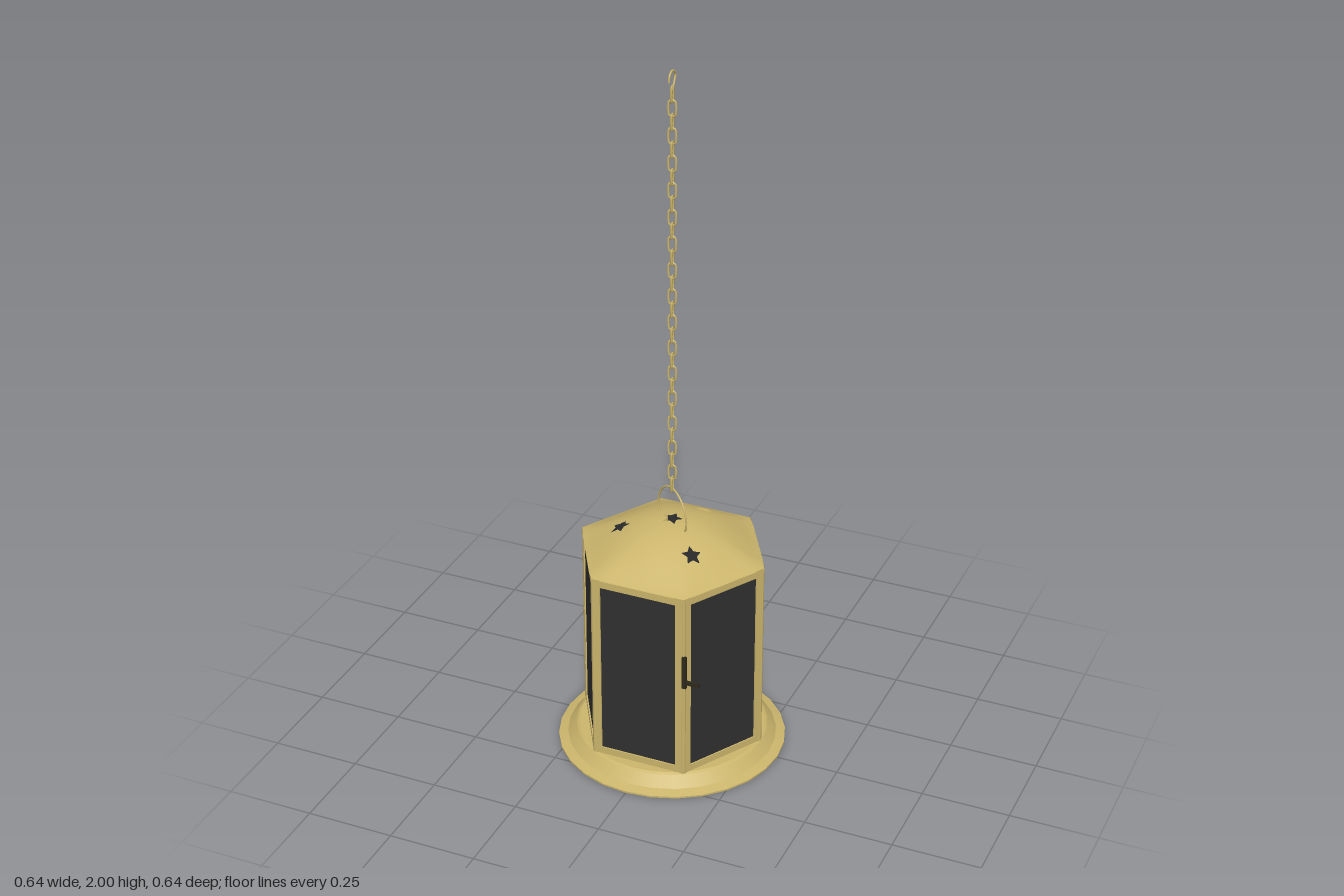
import * as THREE from 'three';

export function createModel() {
  const brass = new THREE.MeshStandardMaterial({ color: 0xcbb56c, side: THREE.DoubleSide });
  brass.name = 'brass';
  const glass = new THREE.MeshStandardMaterial({ color: 0x303030 });
  glass.name = 'smoked glass';
  const iron = new THREE.MeshStandardMaterial({ color: 0x2e291c });
  iron.name = 'dark iron';

  const model = new THREE.Group();
  model.name = 'hangingLantern';
  const add = (name, geometry, material, parent = model) => {
    const mesh = new THREE.Mesh(geometry, material);
    mesh.name = name;
    parent.add(mesh);
    return mesh;
  };
  const V2 = (x, y) => new THREE.Vector2(x, y);
  const V3 = (x, y, z) => new THREE.Vector3(x, y, z);
  const RAD = Math.PI / 180;

  // Base: flanged dish, each band its own lathe so the edges stay sharp
  const profile = [[0, 0.028], [0.262, 0.028], [0.292, 0.004], [0.322, 0], [0.322, 0.005],
    [0.296, 0.013], [0.271, 0.042], [0.264, 0.046], [0, 0.046]];
  const base = new THREE.Group();
  base.name = 'base';
  model.add(base);
  for (let i = 0; i < profile.length - 1; i++) {
    add('baseBand', new THREE.LatheGeometry([V2(...profile[i]), V2(...profile[i + 1])], 28), brass, base);
  }
  add('baseScrew', new THREE.CylinderGeometry(0.02, 0.02, 0.008, 12), brass, base).position.y = 0.026;

  // Six framed panes with a post at each corner
  const W = 0.264, H = 0.562, B = 0.021;
  const rect = (w, h) => [V2(-w / 2, -h / 2), V2(w / 2, -h / 2), V2(w / 2, h / 2), V2(-w / 2, h / 2)];
  const frameShape = new THREE.Shape(rect(W, H));
  frameShape.holes.push(new THREE.Path(rect(W - 2 * B, H - 2 * B)));
  const frameGeo = new THREE.ExtrudeGeometry(frameShape, { depth: 0.012, bevelEnabled: false });
  const paneGeo = new THREE.BoxGeometry(W - 2 * B, H - 2 * B, 0.004);
  const postGeo = new THREE.CylinderGeometry(0.007, 0.007, H, 8);
  for (let i = 0; i < 6; i++) {
    const side = new THREE.Group();
    side.name = 'sidePanel';
    side.rotation.y = i * 60 * RAD;
    side.position.y = 0.045 + H / 2;
    model.add(side);
    add('paneFrame', frameGeo, brass, side).position.z = 0.223;
    add('pane', paneGeo, glass, side).position.z = 0.229;
    add('cornerPost', postGeo, brass, side).position.set(0.133, 0, 0.229);
  }

  // Roof: shallow dome, round at the crown and hexagonal at the eaves, with star cut-outs
  const hexRadius = (a) => {
    const off = ((((a / RAD) % 60) + 60) % 60 - 30) * RAD;
    return Math.min(0.238 / Math.cos(off), 0.271);
  };
  const reach = (a, t) => THREE.MathUtils.lerp(0.25, hexRadius(a), t * t);
  const roofHeight = (x, y) => {
    const r = Math.hypot(x, y), a = Math.atan2(y, x);
    let t = r / 0.25;
    for (let k = 0; k < 12; k++) t = Math.min(1, r / reach(a, t));
    return 0.609 + 0.095 * Math.pow(Math.max(0, 1 - t * t), 1.3);
  };
  const at = (deg, t) => {
    const a = deg * RAD, r = t * reach(a, t);
    return V2(r * Math.cos(a), r * Math.sin(a));
  };
  const star = (cx, cy, R, turn) => {
    const pts = [];
    for (let i = 0; i < 10; i++) {
      const a = turn - i * Math.PI / 5, r = i % 2 ? R * 0.5 : R;
      pts.push(V2(cx + r * Math.cos(a), cy + r * Math.sin(a)));
    }
    return new THREE.Path(pts);
  };
  const STEP = 7.5, rings = [0.2, 0.4, 0.52, 0.64, 0.76, 0.88, 1];
  const cells = [];
  const crown = [];
  for (let d = 0; d < 360; d += STEP) {
    crown.push(at(d, rings[0]));
    for (let j = 0; j < rings.length - 1; j++) {
      if (j >= 1 && j <= 3 && (d + 60) % 120 < 30) continue;
      cells.push(new THREE.Shape([at(d, rings[j]), at(d, rings[j + 1]),
        at(d + STEP, rings[j + 1]), at(d + STEP, rings[j])]));
    }
  }
  const top = new THREE.Shape(crown);
  top.holes.push(star(0, 0, 0.03, 0.3));
  cells.push(top);
  for (const d of [60, 180, 300]) {
    const pts = [];
    for (let j = 1; j < 4; j++) pts.push(at(d, rings[j]));
    for (let k = 0; k < 4; k++) pts.push(at(d + k * STEP, rings[4]));
    for (let j = 4; j > 1; j--) pts.push(at(d + 30, rings[j]));
    for (let k = 4; k > 0; k--) pts.push(at(d + k * STEP, rings[1]));
    const cell = new THREE.Shape(pts);
    const a = (d + 15) * RAD;
    cell.holes.push(star(0.143 * Math.cos(a), 0.143 * Math.sin(a), 0.028, a + 0.5));
    cells.push(cell);
  }
  const roofGeo = new THREE.ShapeGeometry(cells);
  const p = roofGeo.attributes.position, n = roofGeo.attributes.normal, e = 0.006;
  for (let i = 0; i < p.count; i++) {
    const x = p.getX(i), y = p.getY(i), s = 0.96;
    const dx = (roofHeight(x * s + e, y * s) - roofHeight(x * s - e, y * s)) / (2 * e);
    const dy = (roofHeight(x * s, y * s + e) - roofHeight(x * s, y * s - e)) / (2 * e);
    const v = V3(-dx, -dy, 1).normalize();
    p.setZ(i, roofHeight(x, y));
    n.setXYZ(i, v.x, v.y, v.z);
  }
  roofGeo.rotateX(-Math.PI / 2);
  add('roof', roofGeo, brass);

  // Eave band under the roof edge
  const eave = new THREE.CylinderGeometry(0.273, 0.273, 0.012, 6, 1, true).toNonIndexed();
  eave.computeVertexNormals();
  add('eave', eave, brass).position.y = 0.604;
  model.getObjectByName('eave').rotation.y = Math.PI / 2;

  // Wire tubes
  const wire = (name, pts, r, parent, closed = false, seg = 24) =>
    add(name, new THREE.TubeGeometry(new THREE.CatmullRomCurve3(pts, closed), seg, r, 6, closed), brass, parent);

  // Bail handle
  const bail = wire('bailHandle', [V3(-0.062, 0.685, 0), V3(-0.071, 0.715, 0), V3(-0.064, 0.75, 0),
    V3(-0.04, 0.783, 0), V3(0, 0.798, 0), V3(0.04, 0.783, 0), V3(0.064, 0.75, 0),
    V3(0.071, 0.715, 0), V3(0.062, 0.685, 0)], 0.003, model, false, 32);
  bail.rotation.y = -34 * RAD;

  // Chain of alternating oval links
  const chain = new THREE.Group();
  chain.name = 'chain';
  model.add(chain);
  const linkGeo = new THREE.TorusGeometry(0.0105, 0.003, 6, 14);
  const lp = linkGeo.attributes.position;
  for (let i = 0; i < lp.count; i++) lp.setY(i, lp.getY(i) + Math.sign(Math.round(lp.getY(i) * 1e4)) * 0.0115);
  linkGeo.computeVertexNormals();
  for (let i = 0; i < 31; i++) {
    const link = add('chainLink', linkGeo, brass, chain);
    link.position.y = 1.935 - i * 0.0375;
    link.rotation.y = (i % 2 ? 0 : 90) * RAD + 0.15;
  }

  // Hook at the top of the chain
  wire('hook', [V3(0, 1.945, 0.006), V3(0, 1.94, -0.003), V3(0, 1.952, -0.006), V3(0, 1.966, -0.014),
    V3(0, 1.982, -0.02), V3(0, 1.994, -0.01), V3(0, 1.997, 0.004), V3(0, 1.988, 0.017),
    V3(0, 1.972, 0.02)], 0.003, model, false, 32);

  // Door latch on the front left corner
  const latch = new THREE.Group();
  latch.name = 'doorLatch';
  model.add(latch);
  add('latchPlate', new THREE.BoxGeometry(0.012, 0.1, 0.008), iron, latch).position.set(0.138, 0.38, 0.236);
  add('latchLever', new THREE.BoxGeometry(0.045, 0.012, 0.006), iron, latch).position.set(0.16, 0.348, 0.235);

  return model;
}
